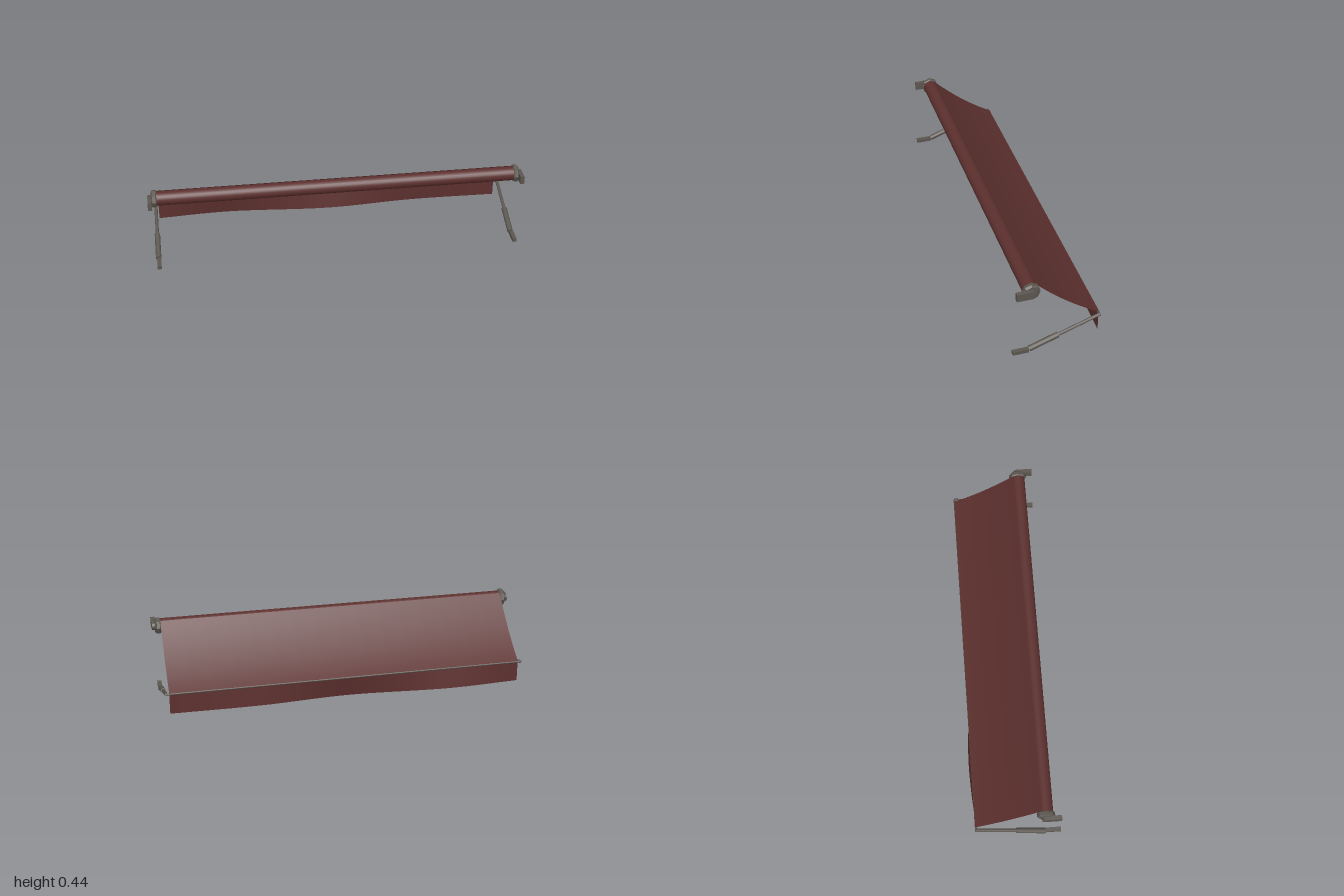
import * as THREE from 'three';

const V = (x, y, z) => new THREE.Vector3(x, y, z);
const fabric = new THREE.MeshStandardMaterial({ color: 0x5c302e, side: THREE.DoubleSide });
const metal = new THREE.MeshStandardMaterial({ color: 0x5c564f });
const ROLL_Y = 0.394, ROLL_Z = 0.145, BAR_Y = 0.152, BAR_Z = -0.217;

function add(parent, name, geometry, material) {
  const mesh = new THREE.Mesh(geometry, material);
  mesh.name = name;
  parent.add(mesh);
  return mesh;
}

// Cylinder running from a to b
function rod(parent, name, a, b, radius, material, sides = 12) {
  const mesh = add(parent, name, new THREE.CylinderGeometry(radius, radius, a.distanceTo(b), sides), material);
  mesh.position.copy(a).lerp(b, 0.5);
  mesh.quaternion.setFromUnitVectors(V(0, 1, 0), b.clone().sub(a).normalize());
  return mesh;
}

// Sheet whose points follow rule(u, v) with u, v in 0..1
function sheet(parent, name, nu, nv, rule) {
  const geometry = new THREE.PlaneGeometry(1, 1, nu, nv);
  const pos = geometry.attributes.position;
  for (let i = 0; i < pos.count; i++) {
    const p = rule(pos.getX(i) + 0.5, pos.getY(i) + 0.5);
    pos.setXYZ(i, p.x, p.y, p.z);
  }
  geometry.computeVertexNormals();
  return add(parent, name, geometry, fabric);
}

// Roller end cap and wall bracket; side is +1 (left) or -1 (right)
function rollerEnd(side) {
  const group = new THREE.Group();
  group.name = side > 0 ? 'leftRollerEnd' : 'rightRollerEnd';

  const profile = [[0, -0.016], [0.042, -0.016], [0.047, -0.01], [0.047, 0.006], [0.036, 0.014], [0, 0.014]];
  const capMetal = metal.clone();
  capMetal.flatShading = true;
  const cap = add(group, 'rollerCap',
    new THREE.LatheGeometry(profile.map(([r, h]) => new THREE.Vector2(r, h)), 8), capMetal);
  cap.rotation.z = -side * Math.PI / 2;
  cap.position.set(side * 0.969, ROLL_Y, ROLL_Z);

  // Bracket outline: rounded at the roller, square at the wall
  const r = 0.0215, shape = new THREE.Shape();
  shape.moveTo(0.225, r);
  shape.lineTo(ROLL_Z, r);
  shape.absarc(ROLL_Z, 0, r, Math.PI / 2, Math.PI * 1.5, false);
  shape.lineTo(0.225, -r);
  shape.closePath();
  const bracketGeometry = new THREE.ExtrudeGeometry(shape, { depth: 0.022, bevelEnabled: false, curveSegments: 10 });
  const bracket = add(group, 'wallBracket', bracketGeometry, metal);
  bracket.rotation.y = -Math.PI / 2;
  bracket.position.set(side > 0 ? 1.0 : -0.978, ROLL_Y - 0.001, 0);
  return group;
}

// Telescopic support arm with its wall foot
function supportArm(side) {
  const group = new THREE.Group();
  group.name = side > 0 ? 'leftArm' : 'rightArm';
  const x = side * 0.969;
  const along = t => V(x, 0.02 + 0.133 * t, 0.15 - 0.37 * t);
  rod(group, 'armPivot', along(-0.055), along(0.05), 0.008, metal, 10);
  rod(group, 'outerTube', along(0), along(0.41), 0.015, metal, 14);
  rod(group, 'innerTube', along(0.38), along(1), 0.009, metal, 12);
  const foot = add(group, 'wallFoot', new THREE.BoxGeometry(0.022, 0.02, 0.084), metal);
  foot.position.set(x + 0.003, 0.0175, 0.195);
  return group;
}

export function createModel() {
  const model = new THREE.Group();
  model.name = 'awning';

  rod(model, 'fabricRoll', V(-0.957, ROLL_Y + 0.001, ROLL_Z), V(0.957, ROLL_Y + 0.001, ROLL_Z), 0.038, fabric, 24);
  rod(model, 'frontBar', V(-0.972, BAR_Y, BAR_Z), V(0.972, BAR_Y, BAR_Z), 0.006, metal, 10);

  // Canopy hanging in a shallow sag from the roll to the front bar
  sheet(model, 'canopy', 16, 16, (u, v) => V(
    (u - 0.5) * 1.91,
    THREE.MathUtils.lerp(BAR_Y + 0.005, 0.428, v) - 0.08 * v * (1 - v),
    THREE.MathUtils.lerp(BAR_Z - 0.004, 0.123, v)));

  // Valance with a waving lower edge
  const wave = new THREE.CatmullRomCurve3(
    [V(-0.955, 0, 0), V(-0.57, 0, -0.018), V(0, 0, 0.019), V(0.47, 0, -0.006), V(0.955, 0, 0)]);
  sheet(model, 'valance', 40, 4, (u, v) => {
    const p = wave.getPoint(u);
    return V(p.x, THREE.MathUtils.lerp(0.04, BAR_Y, v), BAR_Z + p.z * (1 - v));
  });

  for (const side of [1, -1]) model.add(rollerEnd(side), supportArm(side));
  return model;
}
